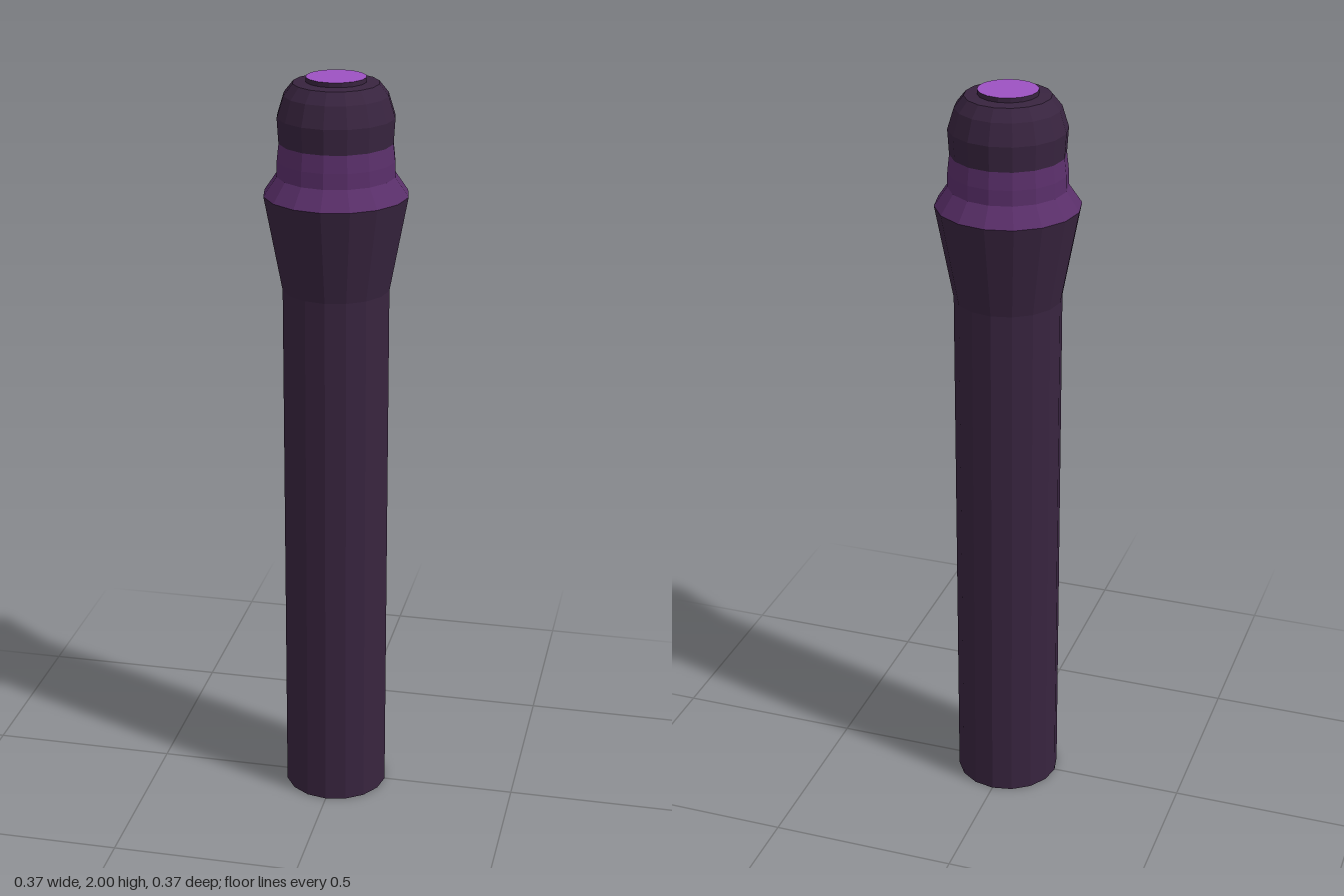
import * as THREE from 'three';

const SIDES = 16;

function material(name, color) {
  const m = new THREE.MeshStandardMaterial({ color, flatShading: true, side: THREE.DoubleSide });
  m.name = name;
  return m;
}

export function createModel() {
  const group = new THREE.Group();
  group.name = 'handle';
  const darkPlum = material('dark plum', 0x38243f);
  const purple = material('purple', 0x5a2f6a);
  const violet = material('bright violet', 0x9d52c2);

  // Faceted turned part from [radius, height] pairs, bottom to top
  const turned = (name, mat, profile) => {
    const points = profile.map(([r, y]) => new THREE.Vector2(r, y));
    const mesh = new THREE.Mesh(new THREE.LatheGeometry(points, SIDES), mat);
    mesh.name = name;
    group.add(mesh);
  };

  // Open tube that flares out below the collar
  turned('shaft', darkPlum, [[0.14, 0], [0.14, 1.45], [0.187, 1.70]]);

  // Sloped shoulder and band
  turned('collar', purple, [[0.187, 1.70], [0.153, 1.75], [0.152, 1.79], [0.147, 1.835]]);

  // Rounded cap with a short raised rim
  turned('cap', darkPlum, [
    [0.147, 1.835], [0.151, 1.90], [0.134, 1.955], [0.11, 1.985], [0.077, 1.988], [0.077, 2.0],
  ]);

  // Flat button face on top
  const button = new THREE.Mesh(new THREE.CircleGeometry(0.077, SIDES), violet);
  button.name = 'button';
  button.rotation.x = -Math.PI / 2;
  button.position.y = 2.0;
  group.add(button);

  return group;
}
